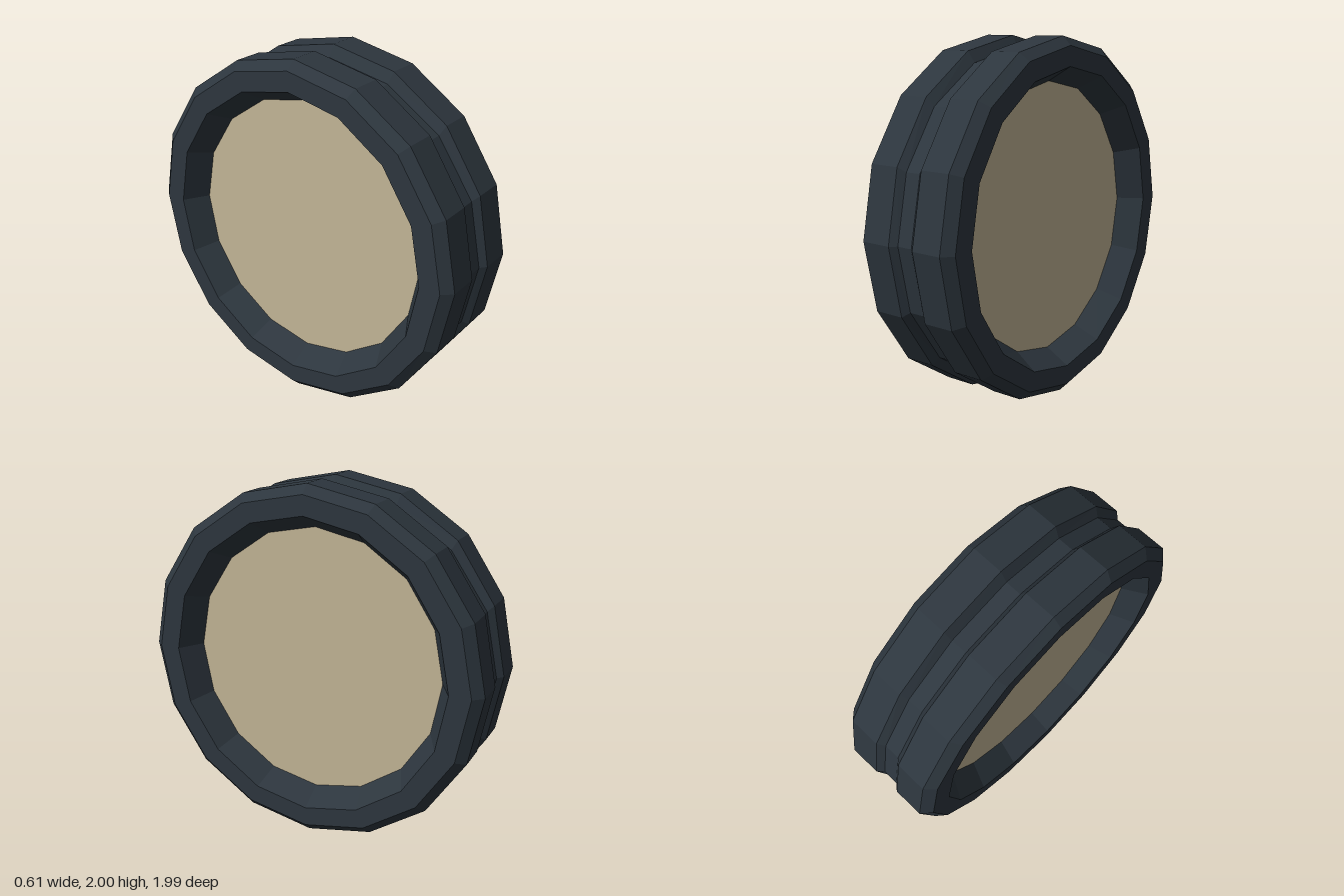
import * as THREE from 'three';

const SIDES = 16;
const rubber = new THREE.MeshStandardMaterial({ color: 0x2d363e });
rubber.name = 'darkRubber';
const tan = new THREE.MeshStandardMaterial({ color: 0xc3b596 });
tan.name = 'tanHub';

// Cross-section of one half: [x, radius in y, radius in z], hub edge to centre groove
const half = [
  [0.165, 0.76, 0.74],
  [0.305, 0.84, 0.82],
  [0.305, 0.95, 0.94],
  [0.255, 1.0, 0.995],
  [0.08, 1.0, 0.995],
  [0.045, 0.935, 0.965],
];

// Faceted skin over a row of rings, running from +x to -x
function faceted(rings) {
  const pos = [];
  const point = ([x, ry, rz], k) => {
    const t = (k / SIDES) * Math.PI * 2;
    return [x, ry * Math.cos(t), rz * Math.sin(t)];
  };
  for (let i = 0; i < rings.length - 1; i++) {
    for (let k = 0; k < SIDES; k++) {
      const a = point(rings[i], k), b = point(rings[i], k + 1);
      const c = point(rings[i + 1], k), d = point(rings[i + 1], k + 1);
      pos.push(...a, ...c, ...b, ...b, ...c, ...d);
    }
  }
  const geo = new THREE.BufferGeometry();
  geo.setAttribute('position', new THREE.Float32BufferAttribute(pos, 3));
  geo.computeVertexNormals();
  return geo;
}

export function createModel() {
  const wheel = new THREE.Group();
  wheel.name = 'wheel';

  // Tyre: mirrored halves joined across the groove
  const mirrored = half.map(([x, ry, rz]) => [-x, ry, rz]).reverse();
  const tyre = new THREE.Mesh(faceted([...half, ...mirrored]), rubber);
  tyre.name = 'tyre';
  wheel.add(tyre);

  // Recessed hub disc on each side
  const [hubX, hubY, hubZ] = half[0];
  for (const side of [1, -1]) {
    const geo = new THREE.CircleGeometry(1, SIDES);
    geo.scale(hubZ, hubY, 1).rotateY((side * Math.PI) / 2);
    const hub = new THREE.Mesh(geo, tan);
    hub.name = side > 0 ? 'leftHub' : 'rightHub';
    hub.position.x = side * hubX;
    wheel.add(hub);
  }

  wheel.position.y = 1;
  const model = new THREE.Group();
  model.name = 'wheelModel';
  model.add(wheel);
  return model;
}
